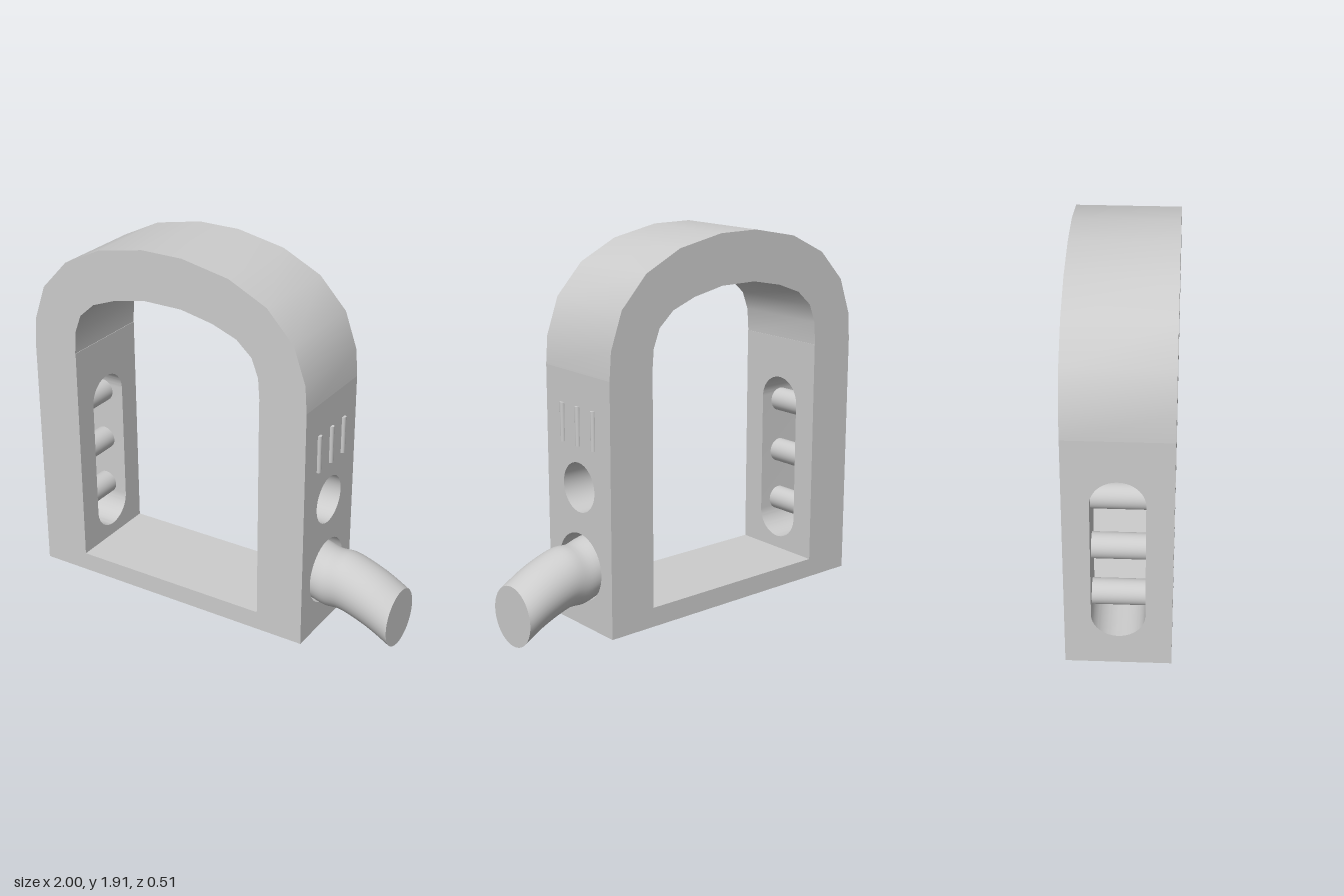
import * as THREE from 'three';
import { toCreasedNormals } from 'three/addons/utils/BufferGeometryUtils.js';

const MID = -0.205;   // centre line of the arch in x
const HALF = 0.255;   // half depth in z
const WALL = 0.255;   // leg thickness
const SPRING = 1.28;  // height where legs meet the crown

export function createModel() {
  const group = new THREE.Group();
  const material = new THREE.MeshStandardMaterial({ color: 0xcccccc });

  const add = (name, geometry, x = 0, y = 0, z = 0) => {
    const mesh = new THREE.Mesh(geometry, material);
    mesh.name = name;
    mesh.position.set(x, y, z);
    group.add(mesh);
    return mesh;
  };
  const extrude = (shape, depth) => toCreasedNormals(
    new THREE.ExtrudeGeometry(shape, { depth, bevelEnabled: false, curveSegments: 24 }), 0.6);

  // Crown: half outlines as [distance from centre line, height], mirrored
  const outer = [[0.795, SPRING], [0.785, 1.42], [0.72, 1.605], [0.575, 1.76], [0.37, 1.86], [0.113, 1.91]];
  const inner = [[0.542, SPRING], [0.533, 1.4], [0.497, 1.495], [0.413, 1.57], [0.28, 1.62], [0.105, 1.655]];
  const at = (side) => ([d, y]) => new THREE.Vector2(MID + side * d, y);
  const crown = new THREE.Shape([
    ...outer.map(at(1)), ...outer.map(at(-1)).reverse(),
    ...inner.map(at(-1)), ...inner.map(at(1)).reverse(),
  ]);
  add('archCrown', extrude(crown, HALF * 2), 0, 0, -HALF);

  // Legs: side profile with openings, extruded through the wall thickness
  const circle = (y, r) => new THREE.Path().absarc(0, y, r, 0, Math.PI * 2, true);
  const leg = (holes) => {
    const s = new THREE.Shape([[-HALF, 0], [HALF, 0], [HALF, SPRING], [-HALF, SPRING]]
      .map(([a, b]) => new THREE.Vector2(a, b)));
    s.holes.push(...holes);
    return extrude(s, WALL).rotateY(Math.PI / 2);
  };
  const slot = new THREE.Path();
  slot.absarc(0, 0.935, 0.128, 0, Math.PI, false);
  slot.absarc(0, 0.293, 0.128, Math.PI, Math.PI * 2, false);
  slot.closePath();
  add('slottedLeg', leg([slot]), -1);
  add('pipeLeg', leg([circle(0.71, 0.125), circle(0.303, 0.172)]), 0.59 - WALL);

  // Floor slab between the legs
  add('baseSlab', new THREE.BoxGeometry(1.085, 0.1, HALF * 2), -0.2025, 0.05);

  // Rungs across the slot
  for (const y of [0.9, 0.61, 0.333]) {
    add('slotRung', new THREE.CylinderGeometry(0.063, 0.063, 0.27, 32).rotateX(Math.PI / 2), -0.8725, y);
  }

  // Plug closing the pipe opening on the inside
  add('pipePlug', new THREE.CylinderGeometry(0.172, 0.172, 0.17, 48).rotateZ(Math.PI / 2), 0.38, 0.303);

  // Bent pipe: a straight cylinder whose rings follow a drooping curve
  const path = new THREE.SplineCurve([[0.44, 0.3], [0.54, 0.3], [0.63, 0.276], [0.71, 0.279], [0.8, 0.253],
    [0.9, 0.21], [1, 0.152]].map(([x, y]) => new THREE.Vector2(x, y)));
  const pipe = new THREE.CylinderGeometry(0.151, 0.151, 1, 40, 24).rotateZ(-Math.PI / 2);
  const pos = pipe.attributes.position;
  for (let i = 0; i < pos.count; i++) {
    const t = THREE.MathUtils.clamp(pos.getX(i) + 0.5, 0, 1);
    const c = path.getPoint(t);
    pos.setXYZ(i, c.x, c.y + pos.getY(i), pos.getZ(i) - 0.012 * t);
  }
  add('bentPipe', toCreasedNormals(pipe, 0.7));

  // Raised ribs on the outer face
  for (const z of [-0.123, 0, 0.123]) {
    add('rib', new THREE.CylinderGeometry(0.014, 0.014, 0.195, 16), 0.591, 1.017, z);
  }
  return group;
}
